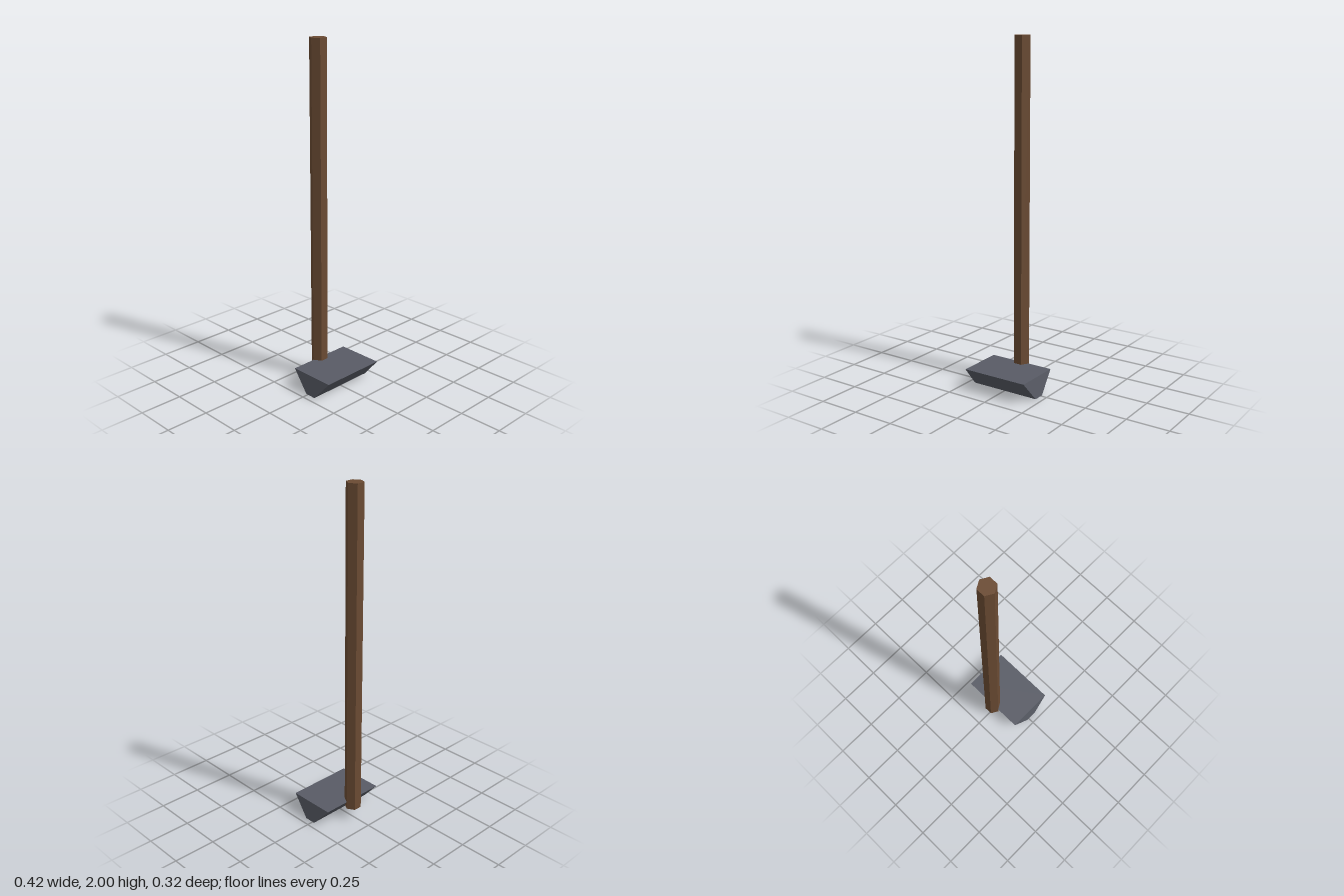
import * as THREE from 'three';

export function createModel() {
  const model = new THREE.Group();
  model.name = 'hammer';

  const wood = new THREE.MeshStandardMaterial({ color: 0x6b4b33 });
  wood.name = 'brown wood';
  const iron = new THREE.MeshStandardMaterial({ color: 0x585b65 });
  iron.name = 'dark iron';

  // Six-sided handle, set against the back edge of the head
  const bottom = 0.075, top = 2;
  const handleGeometry = new THREE.CylinderGeometry(0.049, 0.049, top - bottom, 6)
    .rotateY(Math.PI / 6)
    .translate(0, (top + bottom) / 2, -0.12)
    .toNonIndexed();
  handleGeometry.computeVertexNormals();
  const handle = new THREE.Mesh(handleGeometry, wood);
  handle.name = 'handle';
  model.add(handle);

  // Head: a box tapered to a narrow, slightly longer foot
  const headGeometry = new THREE.BoxGeometry(2, 2, 2).toNonIndexed();
  const p = headGeometry.attributes.position;
  for (let i = 0; i < p.count; i++) {
    const isTop = p.getY(i) > 0;
    const front = isTop ? 0.16 : 0.055;
    const back = isTop ? -0.12 : -0.012;
    p.setXYZ(
      i,
      p.getX(i) * (isTop ? 0.2 : 0.212),
      isTop ? 0.12 : 0,
      p.getZ(i) > 0 ? front : back
    );
  }
  headGeometry.computeVertexNormals();
  const head = new THREE.Mesh(headGeometry, iron);
  head.name = 'head';
  model.add(head);

  return model;
}
